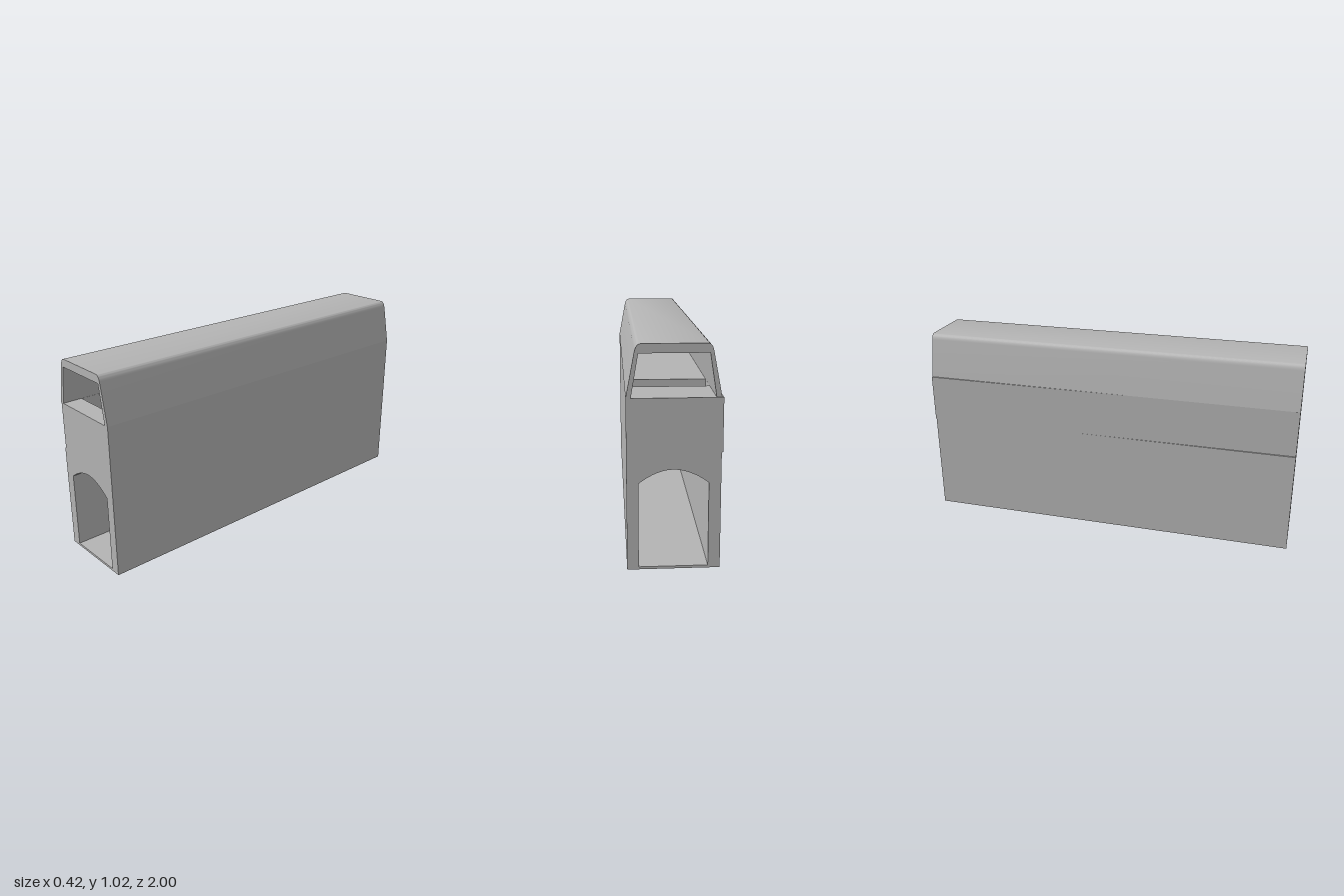
import * as THREE from 'three';
import { toCreasedNormals } from 'three/addons/utils/BufferGeometryUtils.js';

const LEN = 2;      // full length along z
const DECK = 0.785; // upper deck height
const MID = 0.54;   // underside of the middle block

const shell = new THREE.MeshStandardMaterial({ color: 0xb4b4b4, side: THREE.DoubleSide });
shell.name = 'plain grey';

const vecs = (pts) => pts.map(([x, y]) => new THREE.Vector2(x, y));

function addMesh(group, name, geometry) {
  const mesh = new THREE.Mesh(geometry, shell);
  mesh.name = name;
  group.add(mesh);
}

// Thin sheet that sweeps an open cross-section along the whole length
function sheet(points) {
  const position = [];
  for (let i = 0; i < points.length - 1; i++) {
    const [a, b] = [points[i], points[i + 1]];
    const quad = [[a, 1], [b, 1], [b, -1], [a, 1], [b, -1], [a, -1]];
    quad.forEach(([p, z]) => position.push(p.x, p.y, z * LEN / 2));
  }
  const g = new THREE.BufferGeometry();
  g.setAttribute('position', new THREE.Float32BufferAttribute(position, 3));
  return toCreasedNormals(g, 0.5);
}

// Lower tunnel: hollow walls open underneath, arched passage through both ends
function buildTunnel() {
  const group = new THREE.Group();
  group.name = 'lowerTunnel';

  const arch = new THREE.Shape();
  arch.moveTo(-0.152, 0.012);
  arch.lineTo(-0.152, 0.403);
  arch.bezierCurveTo(-0.04, 0.486, 0.05, 0.486, 0.158, 0.403);
  arch.lineTo(0.158, 0.012);
  const passage = arch.getPoints(20);

  const end = new THREE.Shape(vecs([[-0.206, 0], [0.21, 0], [0.21, MID], [-0.206, MID]]));
  end.holes.push(new THREE.Path(passage));
  for (const z of [-1, 1]) {
    const wall = new THREE.ShapeGeometry(end);
    if (z < 0) wall.rotateY(Math.PI).scale(-1, 1, 1);
    addMesh(group, z > 0 ? 'frontArchWall' : 'backArchWall', wall.translate(0, 0, z * LEN / 2));
  }
  // Mirroring flips the winding of the back wall, so restore it
  const back = group.getObjectByName('backArchWall').geometry;
  const index = back.index.array;
  for (let i = 0; i < index.length; i += 3) [index[i], index[i + 2]] = [index[i + 2], index[i]];
  back.computeVertexNormals();

  addMesh(group, 'outerWalls', sheet(vecs([[-0.206, 0], [-0.206, MID], [0.21, MID], [0.21, 0]]).reverse()));
  addMesh(group, 'archedPassage', sheet(passage));
  addMesh(group, 'tunnelFloor', sheet(vecs([[-0.152, 0.012], [0.158, 0.012]])));
  return group;
}

// Middle block: slightly skewed on one side, with a recess near each end
function buildMiddle() {
  // Plan outline, with the second coordinate running towards the back
  const plan = new THREE.Shape(vecs([[-0.198, -1], [0.21, -1], [0.21, 1], [-0.212, 1]]));
  for (const [z0, z1] of [[0.74, 0.9], [-0.76, -0.6]]) {
    plan.holes.push(new THREE.Path(vecs([[-0.18, -z0], [-0.18, -z1], [0.17, -z1], [0.17, -z0]])));
  }
  const g = new THREE.ExtrudeGeometry(plan, { depth: DECK - MID, bevelEnabled: false });
  return g.rotateX(-Math.PI / 2).translate(0, MID, 0);
}

// Roof: tapered canopy with rounded shoulders, open at both ends
function buildRoof() {
  const outer = new THREE.Shape();
  outer.moveTo(-0.204, DECK);
  outer.lineTo(0.21, DECK);
  outer.lineTo(0.173, 0.98);
  outer.quadraticCurveTo(0.165, 1.018, 0.145, 1.019);
  outer.lineTo(-0.141, 1.019);
  outer.quadraticCurveTo(-0.161, 1.018, -0.167, 0.98);
  outer.lineTo(-0.204, DECK);
  // The opening stops a hair above the deck, so the deck acts as its floor
  outer.holes.push(new THREE.Path(vecs([
    [-0.18, DECK + 0.0005], [-0.15, 0.978], [0.155, 0.978], [0.188, DECK + 0.0005],
  ])));
  const g = new THREE.ExtrudeGeometry(outer, { depth: LEN, bevelEnabled: false, curveSegments: 8 });
  // Drop the thin bottom strip so the deck recesses stay open
  const p = g.attributes.position;
  const kept = [];
  for (let i = 0; i < p.count; i += 3) {
    const flat = [0, 1, 2].every((k) => p.getY(i + k) < DECK + 0.001);
    if (flat) continue;
    for (let k = 0; k < 3; k++) kept.push(p.getX(i + k), p.getY(i + k), p.getZ(i + k) - LEN / 2);
  }
  const open = new THREE.BufferGeometry();
  open.setAttribute('position', new THREE.Float32BufferAttribute(kept, 3));
  return toCreasedNormals(open, 0.6);
}

export function createModel() {
  const model = new THREE.Group();
  model.name = 'tunnelBlock';
  model.add(buildTunnel());
  addMesh(model, 'middleBlock', buildMiddle());
  addMesh(model, 'roofCanopy', buildRoof());
  return model;
}
